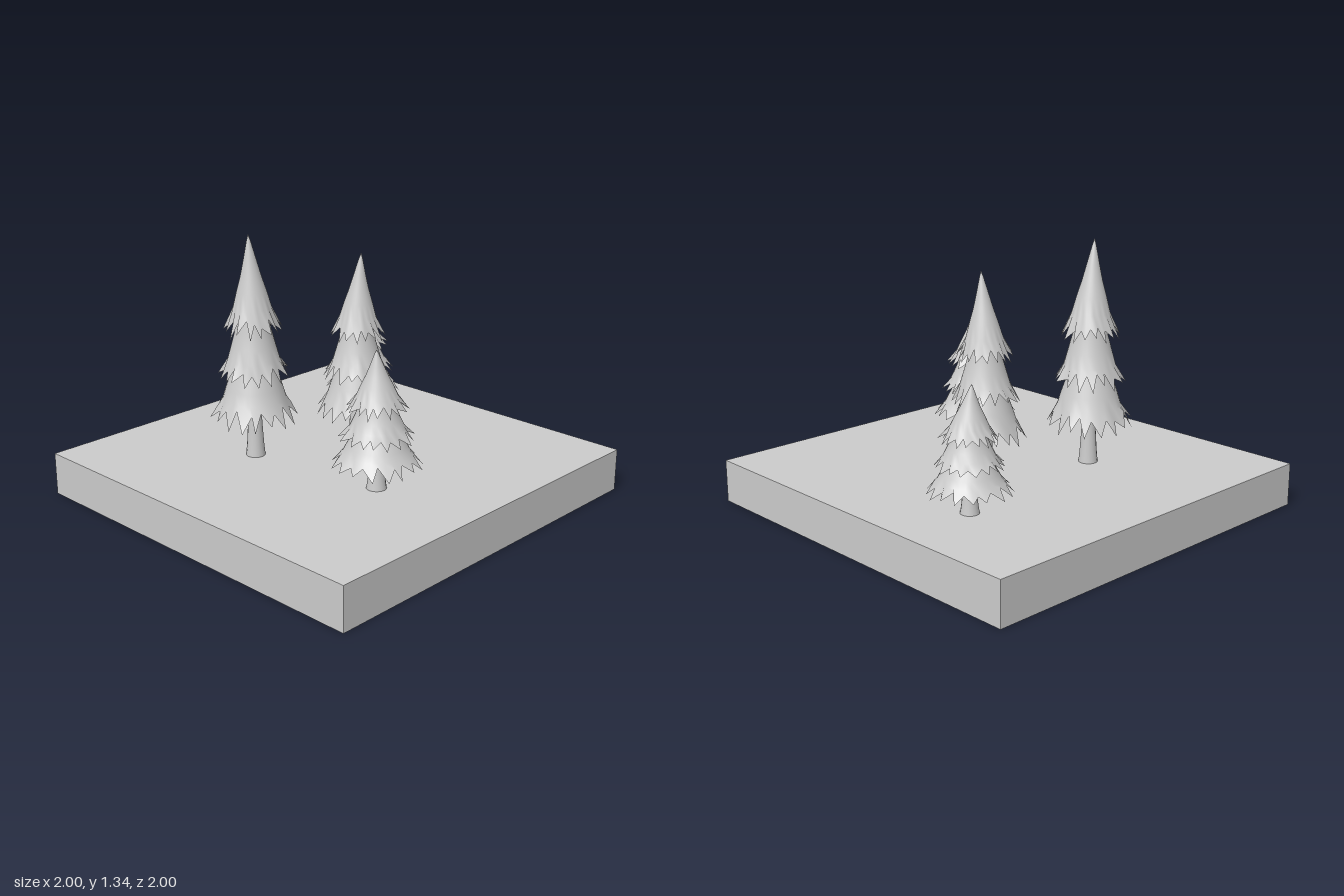
import * as THREE from 'three';

const material = new THREE.MeshStandardMaterial({ color: 0xcccccc, side: THREE.DoubleSide });
const TOP = 0.217; // height of the ground slab
const TEETH = 17;

function seeded(seed) {
  let s = seed;
  return () => (s = (s * 16807) % 2147483647) / 2147483647;
}

// Slight lean of the crown towards its tip
const lean = (h) => 0.1 * Math.max(0, (h - 0.5) / 0.5) ** 2;

// One skirt of branches: smooth rings [radius, height], ending in a jagged hem
function skirtGeometry(rings, tip, notch, seed) {
  const random = seeded(seed);
  const columns = TEETH * 2;
  const positions = [];
  const index = [];
  const shift = random() * Math.PI;
  const hem = [];
  for (let j = 0; j < columns; j++) {
    const [r, h] = j % 2 ? notch : tip;
    hem.push({
      r: r * (0.94 + 0.09 * random()),
      h: h + 0.035 * (random() - 0.5),
      a: (random() - 0.5) * 0.13,
    });
  }
  for (let i = 0; i <= rings.length; i++) {
    for (let j = 0; j < columns; j++) {
      const last = i === rings.length;
      const r = last ? hem[j].r : rings[i][0];
      const h = last ? hem[j].h : rings[i][1];
      const a = shift + (j / columns) * Math.PI * 2 + (last ? hem[j].a : 0);
      positions.push(r * Math.cos(a) + lean(h), h, r * Math.sin(a));
      if (i === 0) continue;
      const k = (j + 1) % columns;
      const up = (i - 1) * columns;
      const down = i * columns;
      index.push(up + j, up + k, down + j, up + k, down + k, down + j);
    }
  }
  const geometry = new THREE.BufferGeometry();
  geometry.setAttribute('position', new THREE.Float32BufferAttribute(positions, 3));
  geometry.setIndex(index);
  geometry.computeVertexNormals();
  return geometry;
}

// Unit tree: hem radius 1, height 1
const tiers = [
  { name: 'topBranches', seed: 1117,
    rings: [[0.005, 1], [0.05, 0.97], [0.15, 0.89], [0.24, 0.82], [0.35, 0.75], [0.45, 0.68]],
    tip: [0.7, 0.575], notch: [0.53, 0.625] },
  { name: 'middleBranches', seed: 5231,
    rings: [[0.34, 0.68], [0.42, 0.58], [0.52, 0.51], [0.61, 0.45]],
    tip: [0.85, 0.37], notch: [0.67, 0.415] },
  { name: 'lowerBranches', seed: 9473,
    rings: [[0.4, 0.48], [0.54, 0.39], [0.67, 0.32], [0.75, 0.27]],
    tip: [1.04, 0.175], notch: [0.83, 0.235] },
].map((t) => ({ name: t.name, geometry: skirtGeometry(t.rings, t.tip, t.notch, t.seed) }));

const trunkGeometry = new THREE.LatheGeometry(
  [[0.23, 0], [0.2, 0.06], [0.17, 0.15], [0.15, 0.25], [0.1, 0.55]].map(([r, h]) => new THREE.Vector2(r, h)), 16);

function createTree(x, z, radius, height, turn) {
  const tree = new THREE.Group();
  tree.name = 'tree';
  const trunk = new THREE.Mesh(trunkGeometry, material);
  trunk.name = 'trunk';
  tree.add(trunk);
  for (const { name, geometry } of tiers) {
    const mesh = new THREE.Mesh(geometry, material);
    mesh.name = name;
    tree.add(mesh);
  }
  tree.position.set(x, TOP, z);
  tree.scale.set(radius, height, radius);
  tree.rotation.y = turn;
  return tree;
}

// Ground slab: a top and four walls, hollow underneath
function createGround() {
  const ground = new THREE.Group();
  ground.name = 'ground';
  const top = new THREE.Mesh(new THREE.PlaneGeometry(2, 2).rotateX(-Math.PI / 2), material);
  top.name = 'groundTop';
  top.position.y = TOP;
  ground.add(top);
  for (let i = 0; i < 4; i++) {
    const wall = new THREE.Mesh(new THREE.PlaneGeometry(2, TOP).translate(0, TOP / 2, 1), material);
    wall.name = 'groundWall';
    wall.rotation.y = (i * Math.PI) / 2;
    ground.add(wall);
  }
  return ground;
}

export function createModel() {
  const model = new THREE.Group();
  model.name = 'forestPlot';
  model.add(
    createGround(),
    createTree(-0.305, -0.27, 0.21, 1.123, Math.PI),
    createTree(0.165, -0.02, 0.2, 0.993, -1.3),
    createTree(-0.195, 0.445, 0.213, 0.685, 3.6),
    createTree(0.602, -0.385, 0.196, 0.603, 1.5),
  );
  return model;
}
